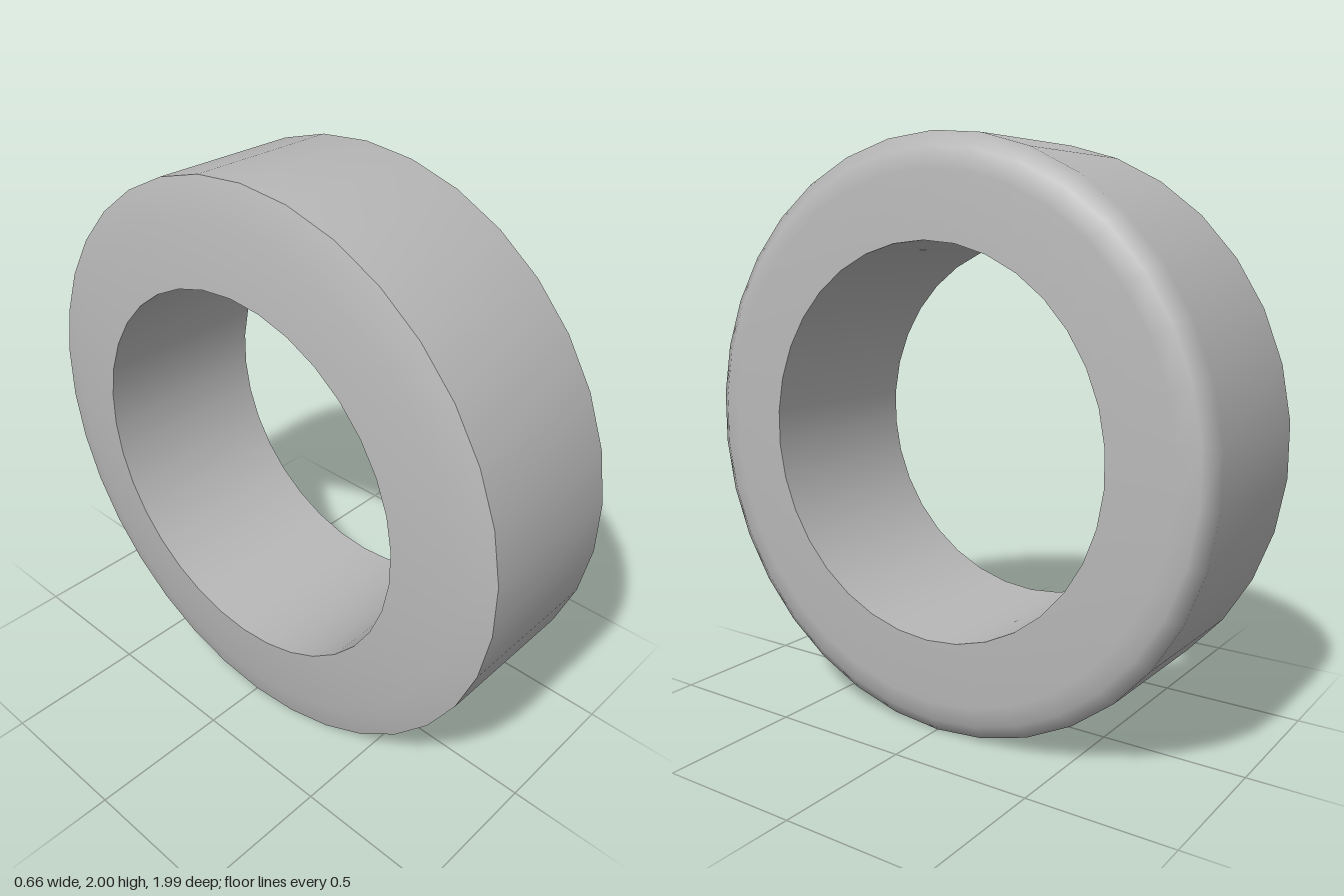
import * as THREE from 'three';

const SIDES = 34;

// Revolves a profile of [radius, x] points around the x axis through the wheel centre.
function ring(name, profile, material) {
  const points = profile.map(([r, x]) => new THREE.Vector2(r, x));
  const geometry = new THREE.LatheGeometry(points, SIDES, Math.PI / 2);
  geometry.rotateZ(-Math.PI / 2);
  geometry.translate(0, 1, 0);
  const mesh = new THREE.Mesh(geometry, material);
  mesh.name = name;
  return mesh;
}

export function createModel() {
  const group = new THREE.Group();
  group.name = 'tyre';
  const rubber = new THREE.MeshStandardMaterial({ color: 0xb8b8b8 });
  rubber.name = 'light grey';

  // Tread rolling smoothly over the rounded shoulder into the left sidewall
  group.add(ring('treadAndLeftSidewall', [
    [1, -0.273], [1, 0.273], [0.95, 0.308], [0.88, 0.322], [0.66, 0.33],
  ], rubber));

  // Right sidewall, meeting the tread at a sharp edge
  group.add(ring('rightSidewall', [
    [0.66, -0.33], [0.88, -0.31], [1, -0.273],
  ], rubber));

  // Straight inner bore
  group.add(ring('bore', [[0.66, 0.33], [0.66, -0.33]], rubber));

  return group;
}
